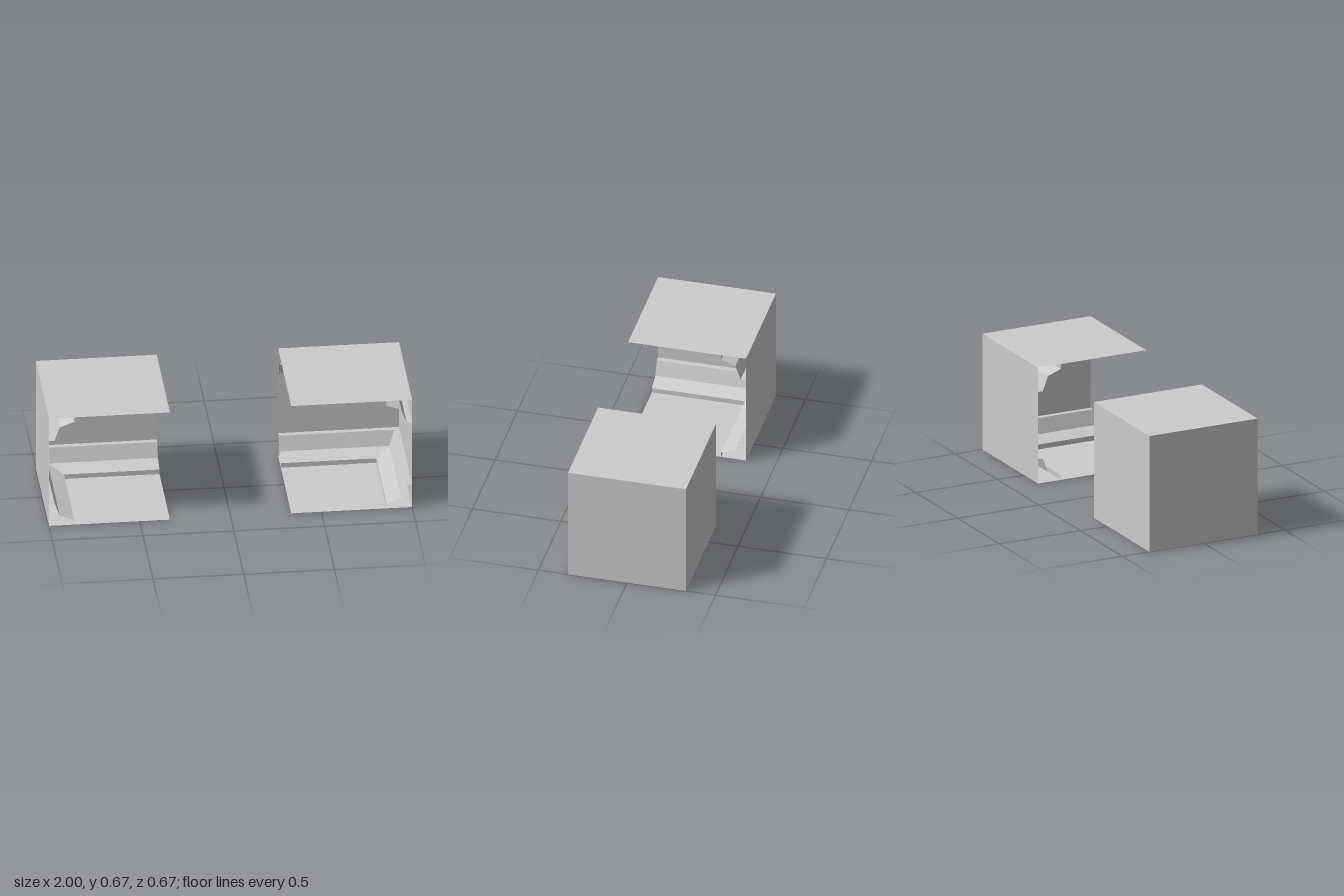
import * as THREE from 'three';

const S = 0.666;          // side of each corner module
const H = 0.668;          // height
const OUT = 1;            // outer wall x
const IN = OUT - S;       // open inner side x
const BACK = -S / 2;
const FRONT = S / 2;

const material = new THREE.MeshStandardMaterial({ color: 0xcccccc, side: THREE.DoubleSide, flatShading: true });

// moulding profile: [distance from wall, distance from floor or ceiling]
const profile = [[0, 0.14], [0.03, 0.14], [0.06, 0.058], [0.14, 0.028], [0.14, 0]];

function panel(name, w, h, position, rotation) {
  const mesh = new THREE.Mesh(new THREE.PlaneGeometry(w, h), material);
  mesh.name = name;
  mesh.position.set(...position);
  mesh.rotation.set(...rotation);
  return mesh;
}

// profile swept along the side wall, mitred in the corner, then along the back wall
function moulding(name, side, atCeiling) {
  const positions = [];
  const index = [];
  for (const [d, h] of profile) {
    const y = atCeiling ? H - h : h;
    positions.push(side * (OUT - d), y, FRONT);
    positions.push(side * (OUT - d), y, BACK + d);
    positions.push(side * IN, y, BACK + d);
  }
  const flip = (side > 0) === atCeiling;
  for (let i = 0; i < profile.length - 1; i++) {
    for (let j = 0; j < 2; j++) {
      const a = i * 3 + j, b = a + 1, c = a + 3, d = a + 4;
      if (flip) index.push(a, b, c, b, d, c);
      else index.push(a, c, b, b, c, d);
    }
  }
  const geometry = new THREE.BufferGeometry();
  geometry.setAttribute('position', new THREE.Float32BufferAttribute(positions, 3));
  geometry.setIndex(index);
  const flat = geometry.toNonIndexed();
  flat.computeVertexNormals();
  const mesh = new THREE.Mesh(flat, material);
  mesh.name = name;
  return mesh;
}

// room corner: floor, ceiling, two walls; front and inner side are open
function cornerModule(name, side) {
  const group = new THREE.Group();
  group.name = name;
  const cx = side * (IN + OUT) / 2;
  group.add(
    panel('floor', S, S, [cx, 0, 0], [-Math.PI / 2, 0, 0]),
    panel('ceiling', S, S, [cx, H, 0], [Math.PI / 2, 0, 0]),
    panel('backWall', S, H, [cx, H / 2, BACK], [0, 0, 0]),
    panel('sideWall', S, H, [side * OUT, H / 2, 0], [0, -side * Math.PI / 2, 0]),
    moulding('baseMoulding', side, false),
    moulding('ceilingMoulding', side, true)
  );
  return group;
}

export function createModel() {
  const model = new THREE.Group();
  model.name = 'roomCorners';
  model.add(cornerModule('leftCorner', 1), cornerModule('rightCorner', -1));
  return model;
}
